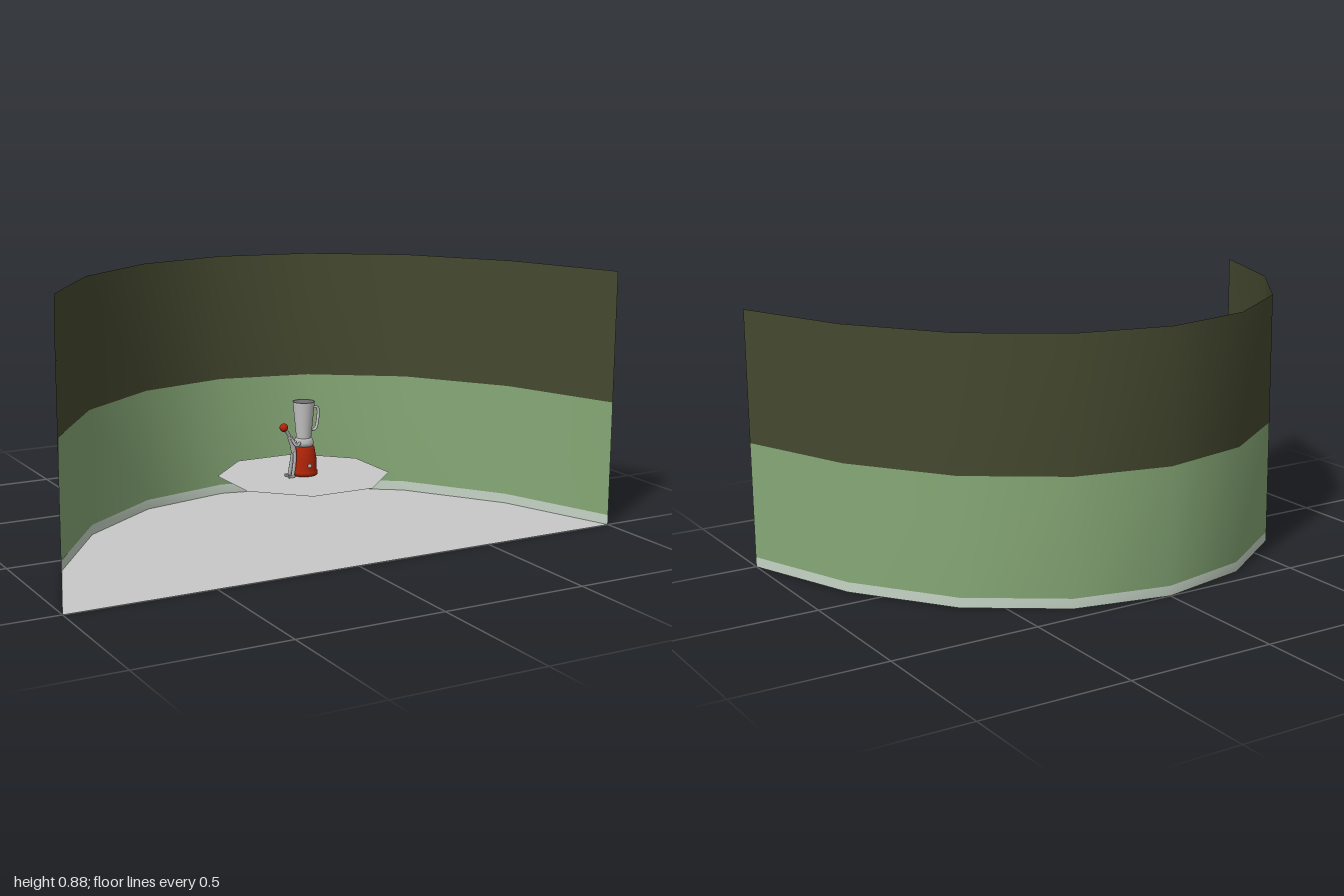
import * as THREE from 'three';

const paint = (name, color, side = THREE.FrontSide) => {
  const m = new THREE.MeshStandardMaterial({ color, side });
  m.name = name;
  return m;
};

export function createModel() {
  const floorGrey = paint('floor grey', 0xc8c8c8, THREE.DoubleSide);
  const skirting = paint('pale skirting', 0xc6d4c6, THREE.DoubleSide);
  const green = paint('wall green', 0x86a876, THREE.DoubleSide);
  const olive = paint('dark olive', 0x45492f, THREE.DoubleSide);
  const red = paint('enamel red', 0xb02408);
  const steel = paint('steel', 0xb4b4b4);
  const glass = paint('jar grey', 0xc4c4c4, THREE.DoubleSide);
  const dark = paint('dark grey', 0x707070);

  const root = new THREE.Group();
  root.name = 'blenderDiorama';
  const add = (parent, name, geometry, material, x = 0, y = 0, z = 0) => {
    const mesh = new THREE.Mesh(geometry, material);
    mesh.name = name;
    mesh.position.set(x, y, z);
    parent.add(mesh);
    return mesh;
  };

  // Half-round plan, from the front left corner round the back
  const half = [[1, 0.5], [0.85, 0.1], [0.62, -0.225], [0.325, -0.43]];
  const plan = [...half.map(([x, z]) => [-x, z]), [0, -0.5], ...half.slice().reverse()];

  // One smooth horizontal band of the curved wall
  const wallBand = (y0, y1) => {
    const positions = [], index = [];
    plan.forEach(([x, z], i) => {
      positions.push(x, y0, z, x, y1, z);
      if (i) {
        const a = 2 * i - 2;
        index.push(a, a + 1, a + 2, a + 1, a + 3, a + 2);
      }
    });
    const g = new THREE.BufferGeometry();
    g.setAttribute('position', new THREE.Float32BufferAttribute(positions, 3));
    g.setIndex(index);
    g.computeVertexNormals();
    return g;
  };
  add(root, 'wallSkirting', wallBand(0, 0.034), skirting);
  add(root, 'lowerWall', wallBand(0.034, 0.432), green);
  add(root, 'upperWall', wallBand(0.432, 0.882), olive);

  // Flat floor and the floating octagonal table top
  const sheet = (points) => new THREE.ShapeGeometry(
    new THREE.Shape(points.map(([x, z]) => new THREE.Vector2(x, -z)))).rotateX(-Math.PI / 2);
  add(root, 'floor', sheet(plan), floorGrey);
  const octagon = Array.from({ length: 8 }, (_, i) => {
    const a = (i + 0.5) * Math.PI / 4;
    return [0.288 * Math.cos(a), 0.288 * Math.sin(a)];
  });
  add(root, 'tableTop', sheet(octagon), floorGrey, 0, 0.218, 0.133);

  // Blender, standing on the table
  const blender = new THREE.Group();
  blender.name = 'blender';
  blender.position.set(0, 0.22, 0.133);
  root.add(blender);
  const lathe = (points, n = 20) =>
    new THREE.LatheGeometry(points.map(([r, y]) => new THREE.Vector2(r, y)), n);
  add(blender, 'base', lathe([[0, 0], [0.047, 0], [0.047, 0.012], [0.043, 0.016],
    [0.043, 0.055], [0.036, 0.092], [0.03, 0.1], [0, 0.1]]), red);
  add(blender, 'collar', lathe([[0, 0.098], [0.032, 0.098], [0.034, 0.11],
    [0.027, 0.125], [0, 0.125]]), steel);
  add(blender, 'jar', lathe([[0.025, 0.124], [0.037, 0.248]]), glass);
  add(blender, 'lid', new THREE.CylinderGeometry(0.036, 0.036, 0.004, 20), dark, 0, 0.244, 0);
  const tube = (points, r) => new THREE.TubeGeometry(
    new THREE.CatmullRomCurve3(points.map((p) => new THREE.Vector3(...p))), 16, r, 8);
  add(blender, 'handle', tube([[0.034, 0.225, 0], [0.052, 0.222, 0], [0.053, 0.18, 0],
    [0.044, 0.15, 0], [0.028, 0.148, 0]], 0.005), glass);
  add(blender, 'knob', new THREE.SphereGeometry(0.007, 10, 8), steel, 0, 0.035, 0.042);

  // Small jointed figure leaning beside the blender
  const figure = new THREE.Group();
  figure.name = 'figure';
  figure.position.set(0, 0.22, 0.15);
  root.add(figure);
  add(figure, 'torso', tube([[-0.046, 0.082, 0], [-0.052, 0.11, 0], [-0.062, 0.138, 0]], 0.0095), steel);
  add(figure, 'neck', tube([[-0.062, 0.138, 0], [-0.074, 0.155, 0.002], [-0.085, 0.166, 0.004]], 0.006), steel);
  add(figure, 'head', new THREE.SphereGeometry(0.014, 14, 10), red, -0.086, 0.171, 0.004);
  for (const s of [-1, 1]) {
    add(figure, 'leg', tube([[-0.046, 0.085, s * 0.007], [-0.05, 0.045, s * 0.011],
      [-0.057, 0.005, s * 0.012]], 0.006), steel);
    add(figure, 'foot', new THREE.BoxGeometry(0.022, 0.008, 0.01), steel, -0.061, 0.004, s * 0.012);
    add(figure, 'arm', tube([[-0.06, 0.132, s * 0.01], [-0.045, 0.108, s * 0.018],
      [-0.03, 0.115, s * 0.012]], 0.005), steel);
  }
  return root;
}
